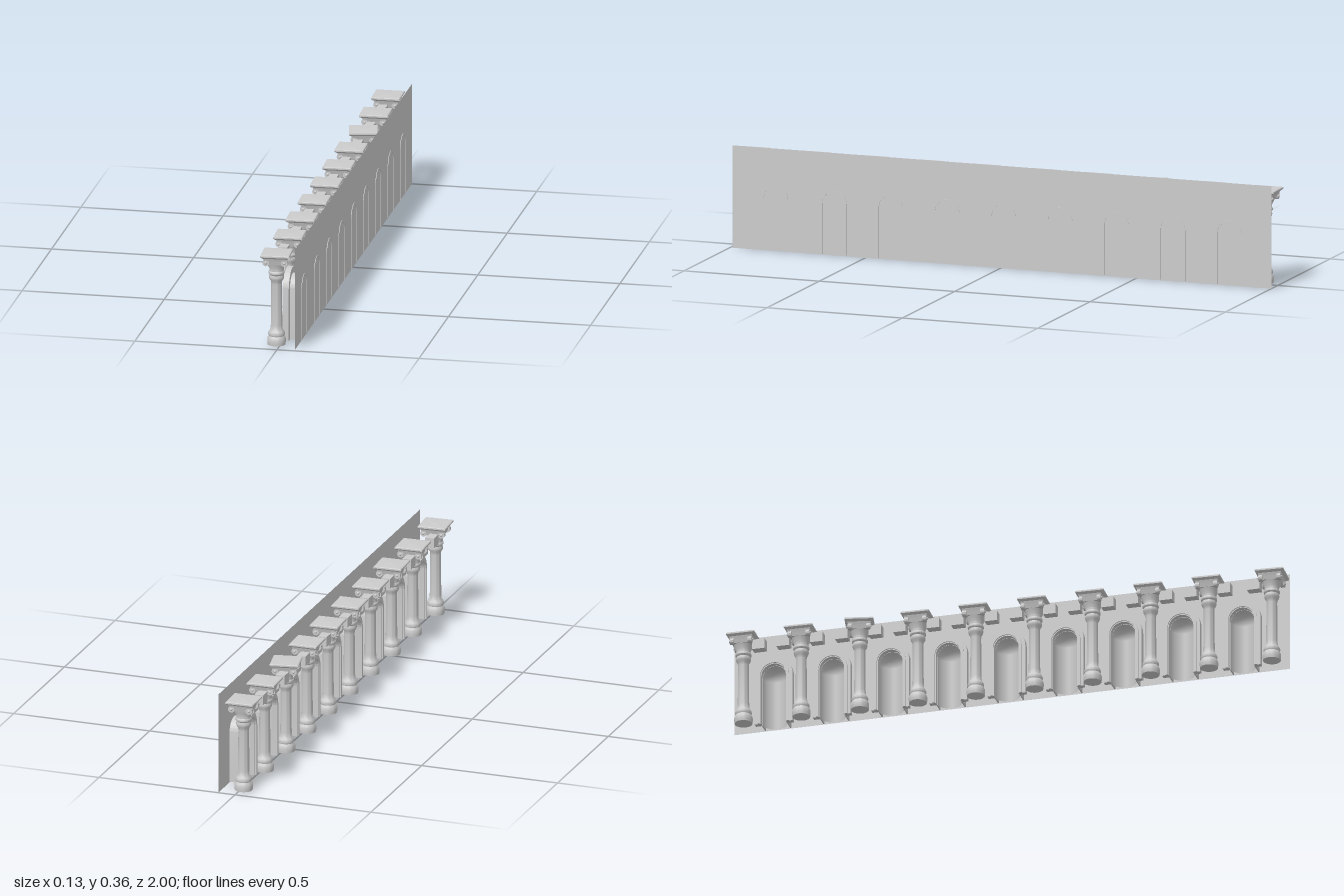
import * as THREE from 'three';
import { toCreasedNormals } from 'three/addons/utils/BufferGeometryUtils.js';

const smooth = new THREE.MeshStandardMaterial({ color: 0xcccccc });
const thin = new THREE.MeshStandardMaterial({ color: 0xcccccc, side: THREE.DoubleSide });
const faceted = new THREE.MeshStandardMaterial({ color: 0xcccccc, flatShading: true });

function add(parent, name, geometry, material, x = 0, y = 0, z = 0) {
  const mesh = new THREE.Mesh(geometry, material);
  mesh.name = name;
  mesh.position.set(x, y, z);
  parent.add(mesh);
  return mesh;
}

const profile = (pts) => pts.map(([r, y]) => new THREE.Vector2(r, y));

// Arch-shaped band standing on the floor, extruded along +x from x0 to x1
function archBand(outer, inner, spring, x0, x1) {
  const s = new THREE.Shape();
  s.moveTo(-outer, 0.003);
  s.lineTo(-inner, 0.003);
  s.lineTo(-inner, spring);
  s.absarc(0, spring, inner, Math.PI, 0, true);
  s.lineTo(inner, 0.003);
  s.lineTo(outer, 0.003);
  s.lineTo(outer, spring);
  s.absarc(0, spring, outer, 0, Math.PI, false);
  s.closePath();
  const g = new THREE.ExtrudeGeometry(s, { depth: x1 - x0, bevelEnabled: false, curveSegments: 14 });
  g.rotateY(Math.PI / 2).translate(x0, 0, 0);
  return toCreasedNormals(g, 0.6);
}

// Turned base, shaft and necking
const shaftGeo = toCreasedNormals(new THREE.LatheGeometry(profile([
  [0, 0.004], [0.031, 0.004], [0.032, 0.012], [0.032, 0.026], [0.029, 0.032], [0.027, 0.036],
  [0.029, 0.041], [0.029, 0.046], [0.026, 0.052], [0.021, 0.06], [0.02, 0.075], [0.0185, 0.222],
  [0.02, 0.232], [0.025, 0.24], [0.0265, 0.248], [0.024, 0.255], [0.028, 0.26], [0.028, 0.266],
  [0.025, 0.27], [0.025, 0.278], [0.033, 0.294], [0.036, 0.31], [0, 0.31],
]), 20), 0.7);

// Square members turned with four sides
function squareGeo(pts) {
  const k = Math.SQRT2;
  const g = new THREE.LatheGeometry(profile(pts.map(([r, y]) => [r * k, y])), 4);
  return g.rotateY(Math.PI / 4);
}
const blockGeo = squareGeo([[0, 0.298], [0.034, 0.298], [0.038, 0.312], [0.042, 0.324], [0, 0.324]]);
const abacusGeo = squareGeo([[0, 0.322], [0.043, 0.322], [0.048, 0.326], [0.05, 0.328], [0.05, 0.333], [0.047, 0.335], [0, 0.337]]);
const scrollGeo = toCreasedNormals(new THREE.CylinderGeometry(0.012, 0.012, 0.014, 12).rotateX(Math.PI / 2), 0.7);
const eyeGeo = new THREE.SphereGeometry(0.005, 8, 6);

function column(turn) {
  const g = new THREE.Group();
  g.name = 'column';
  add(g, 'shaft', shaftGeo, smooth);
  const capital = new THREE.Group();
  capital.name = 'capital';
  capital.rotation.y = turn;
  g.add(capital);
  add(capital, 'capitalBlock', blockGeo, faceted);
  add(capital, 'abacus', abacusGeo, faceted);
  for (const sx of [-1, 1]) for (const sz of [-1, 1]) {
    add(capital, 'scroll', scrollGeo, smooth, sx * 0.032, 0.306, sz * 0.032);
    add(capital, 'scrollEye', eyeGeo, smooth, sx * 0.032, 0.306, sz * 0.039);
  }
  return g;
}

// Arched recess: moulded frame, outer shell, rounded inner wall and half dome
const frameGeo = archBand(0.068, 0.044, 0.182, 0.002, 0.021);
const mouldingGeo = archBand(0.056, 0.047, 0.182, -0.003, 0.002);
const shellGeo = archBand(0.047, 0.043, 0.181, 0.02, 0.0628);
const wallGeo = new THREE.CylinderGeometry(0.043, 0.043, 0.178, 16, 1, true, 0, Math.PI);
const domeGeo = new THREE.SphereGeometry(0.043, 16, 8, Math.PI / 2, Math.PI, 0, Math.PI / 2);

function niche() {
  const g = new THREE.Group();
  g.name = 'niche';
  add(g, 'archFrame', frameGeo, smooth);
  add(g, 'archMoulding', mouldingGeo, smooth);
  add(g, 'nicheShell', shellGeo, smooth);
  add(g, 'nicheWall', wallGeo, thin, 0.018, 0.092, 0);
  add(g, 'nicheDome', domeGeo, thin, 0.018, 0.181, 0);
  return g;
}

export function createModel() {
  const model = new THREE.Group();
  model.name = 'arcade';

  // Thin backing wall
  const wall = add(model, 'backWall', new THREE.PlaneGeometry(1.99, 0.36), thin, 0.061, 0.18, -0.005);
  wall.rotation.y = Math.PI / 2;

  const zs = [-0.947, -0.74, -0.53, -0.322, -0.115, 0.095, 0.303, 0.511, 0.72, 0.945];
  const turns = [0.02, 0.03, 0.2, 0.03, 0.04, 0.03, 0.03, 0.04, 0.04, 0.06];
  const bracketGeo = new THREE.BoxGeometry(0.032, 0.036, 0.045);

  zs.forEach((z, i) => {
    const c = column(turns[i]);
    c.position.set(-0.0125, 0, z);
    model.add(c);
    // Small brackets flanking the capital, only towards a neighbour
    for (const s of [-1, 1]) {
      if (!zs[i + s]) continue;
      add(model, 'bracket', bracketGeo, faceted, -0.021, 0.29, z + s * 0.06);
    }
    if (i < zs.length - 1) {
      const n = niche();
      n.position.z = (z + zs[i + 1]) / 2;
      model.add(n);
    }
  });
  return model;
}
